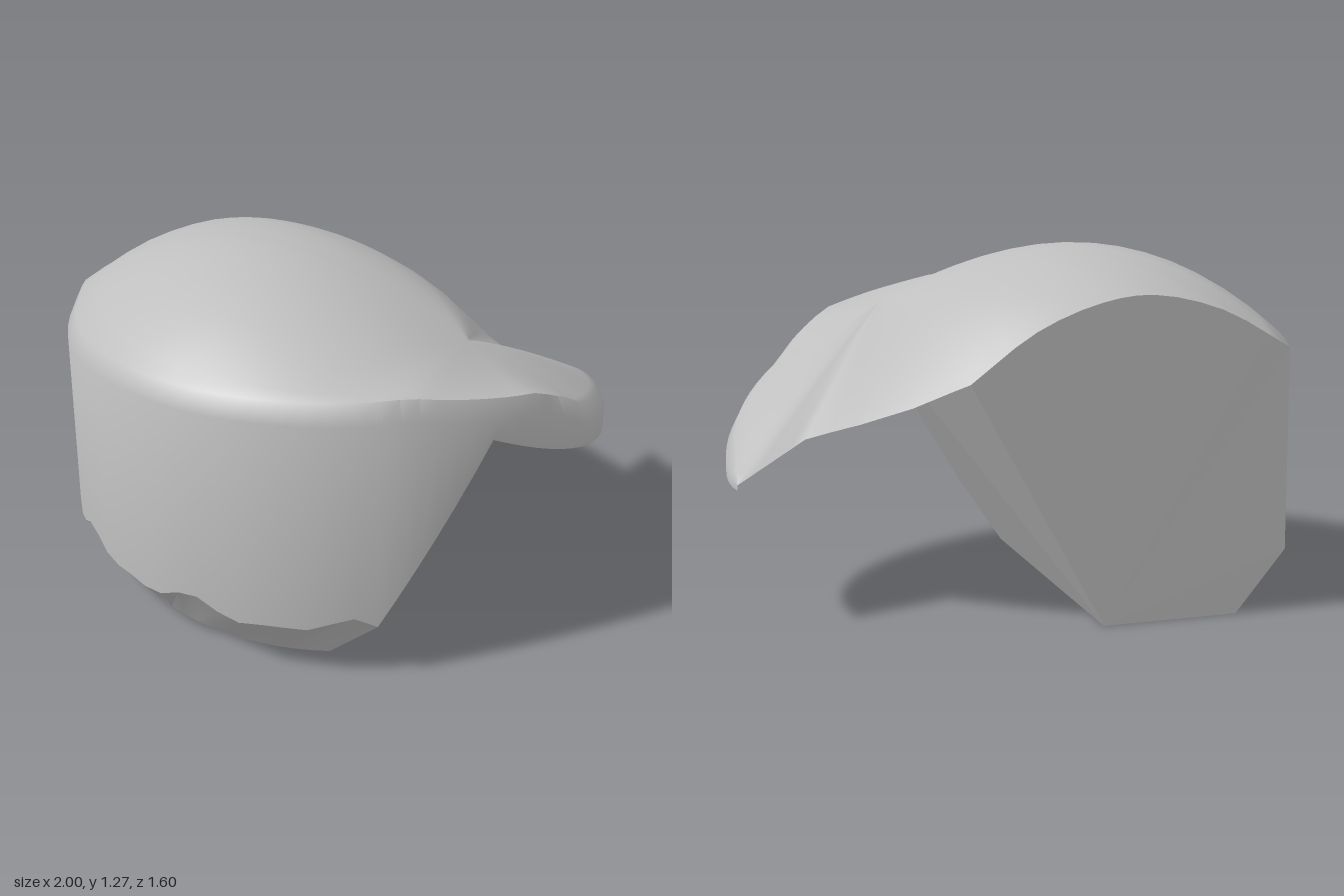
import * as THREE from 'three';
import { mergeVertices, toCreasedNormals } from 'three/addons/utils/BufferGeometryUtils.js';

const rad = Math.PI / 180;
const LEFT = 177.7, FOOT = 65.86, CORNER = 43, TIP = -37.2;   // key angles round the drum
const arc = (deg, r, y) => new THREE.Vector3(r * Math.cos(deg * rad), y, -0.2 + r * Math.sin(deg * rad));
const lerp = THREE.MathUtils.lerp;

// heights of the sloping side cut and of the brim's underside
const slopeY = (x, z) => (x - 0.553 * z + 0.133) / 0.672;
const brimY = (x, z) => 1.08 - 0.452 * x + 0.2915 * z;

// height of the dome's edge by angle
const RIM = [[178, 0.94], [150, 0.96], [120, 1.02], [90, 1.05], [60, 1.06], [43, 1.0], [30, 0.95],
  [20, 0.86], [12, 0.77], [0, 0.7], [-15, 0.62], [-38, 0.5]];
function rimY(deg) {
  for (let i = 1; i < RIM.length; i++) {
    const [a, ya] = RIM[i - 1], [b, yb] = RIM[i];
    if (deg >= b) return lerp(ya, yb, (a - deg) / (a - b));
  }
  return 0.5;
}

function fromTriangles(points) {
  return new THREE.BufferGeometry().setFromPoints(points);
}

// flat convex face as a fan, turned to face the given direction
function flatFace(points, facing) {
  const tris = [];
  for (let i = 1; i < points.length - 1; i++) {
    const [a, b, c] = [points[0], points[i], points[i + 1]];
    const n = b.clone().sub(a).cross(c.clone().sub(a));
    tris.push(...(n.dot(facing) > 0 ? [a, b, c] : [a, c, b]));
  }
  const g = fromTriangles(tris);
  g.computeVertexNormals();
  return g;
}

// quads between two rows of points running left to right, lower row first
function strip(low, high) {
  const tris = [];
  for (let i = 0; i < low.length - 1; i++) {
    tris.push(low[i], low[i + 1], high[i + 1], low[i], high[i + 1], high[i]);
  }
  return tris;
}

export function createModel() {
  const group = new THREE.Group();
  const stone = new THREE.MeshStandardMaterial({ color: 0xbfbfbf });
  stone.name = 'grey stone';
  const add = (name, geometry) => {
    const mesh = new THREE.Mesh(geometry, stone);
    mesh.name = name;
    group.add(mesh);
  };

  // column angles round the curved wall
  const angles = [];
  const N1 = 24, N2 = 6, N3 = 20;
  for (let i = 0; i < N1; i++) angles.push(lerp(LEFT, FOOT, i / N1));
  for (let i = 0; i < N2; i++) angles.push(lerp(FOOT, CORNER, i / N2));
  for (let i = 0; i <= N3; i++) angles.push(lerp(CORNER, TIP, i / N3));

  // wall rows: lower edge, shoulder and bevelled rim
  const low = [], shoulder = [], rim = [];
  angles.forEach((deg, i) => {
    const p = arc(deg, 1, 0);
    if (i <= N1) p.y = 0.22 + (i > 0 && i < N1 ? 0.025 * Math.sin(i * 0.9) + 0.015 * Math.sin(i * 1.7) : 0);
    else if (i <= N1 + N2) p.y = Math.min(slopeY(p.x, p.z), brimY(p.x, p.z) + 0.01);
    else p.y = brimY(p.x, p.z);
    const k = Math.max(0, Math.min(1, (LEFT - deg) / 10, (deg - TIP) / 10));
    const y = rimY(deg);
    low.push(p);
    shoulder.push(arc(deg, 1, Math.max(p.y, y - 0.04 * k)));
    rim.push(arc(deg, 1 - 0.035 * k, y + 0.03 * k));
  });

  // base edge, drawn in from the wall
  const base = [];
  for (let i = 0; i <= N1; i++) base.push(arc(lerp(183.6, 75.6, i / N1), 0.84, 0));
  const baseBack = new THREE.Vector3(-0.41, 0, -0.502);

  // back edge of the brim, then the arched top of the back cut
  const backEdge = [[0.63, -0.58], [0.52, -0.62], [0.4, -0.67], [0.2, -0.73], [0.05, -0.735], [0, -0.74]]
    .map(([x, z]) => new THREE.Vector3(x, brimY(x, z), z));
  const backCorner = backEdge[backEdge.length - 1];
  const archCurve = new THREE.CatmullRomCurve3([[0, backCorner.y], [-0.2, 1.03], [-0.4, 1.12], [-0.56, 1.14],
    [-0.78, 1.08], [-1, 0.94]].map(([x, y]) => new THREE.Vector3(x, y, -0.74 - 0.58 * x)));
  const arch = archCurve.getPoints(15).slice(1, -1);

  // dome: rings from the outline to a hub near the brim, leaning up to the left,
  // rounded all over except for a straighter sweep down to the brim's tip
  const tipEdge = [0.25, 0.5, 0.75].map((t) => rim[rim.length - 1].clone().lerp(backEdge[0], t));
  const loop = [...rim, ...tipEdge, ...backEdge, ...arch, rim[0]];
  const cx = 0.55, cz = 0.1, cy = 1.04, RINGS = 16;
  const ring = (t) => loop.map((p) => {
    const dx = p.x - cx, dz = p.z - cz, lean = -0.5 * dx + 0.1 * dz;
    const power = 2.5 - 1.35 * Math.exp(-(((Math.atan2(dz, dx) + 1.35) / 0.6) ** 2));
    return new THREE.Vector3(cx + dx * t, cy + lean * t + (p.y - cy - lean) * t ** power, cz + dz * t);
  });
  const tris = [...strip(low, shoulder), ...strip(shoulder, rim)];
  for (let j = RINGS; j > 0; j--) {
    const outer = j === RINGS ? loop : ring(j / RINGS), inner = ring((j - 1) / RINGS);
    const quads = strip(outer, inner);
    // the innermost ring closes to a point, so keep only its first triangles
    for (let q = 0; q < quads.length; q += 6) tris.push(...quads.slice(q, q + (j === 1 ? 3 : 6)));
  }
  add('domeAndWall', toCreasedNormals(mergeVertices(fromTriangles(tris), 1e-4), 0.95));

  // uneven bevel at the foot of the wall
  add('footBevel', toCreasedNormals(fromTriangles(strip(base, low.slice(0, N1 + 1))), 0.5));

  // flat cuts
  add('base', flatFace([...base, baseBack], new THREE.Vector3(0, -1, 0)));
  add('backCut', flatFace([baseBack, base[0], low[0], rim[0], ...arch.slice().reverse(), backCorner],
    new THREE.Vector3(-0.5, 0, -0.866)));
  add('sideCut', flatFace([baseBack, base[N1], ...low.slice(N1, N1 + N2 + 1), backCorner],
    new THREE.Vector3(1, -0.672, -0.553)));
  add('brimUnderside', flatFace([...backEdge, ...low.slice(N1 + N2)], new THREE.Vector3(-0.452, -1, 0.2915)));
  return group;
}
